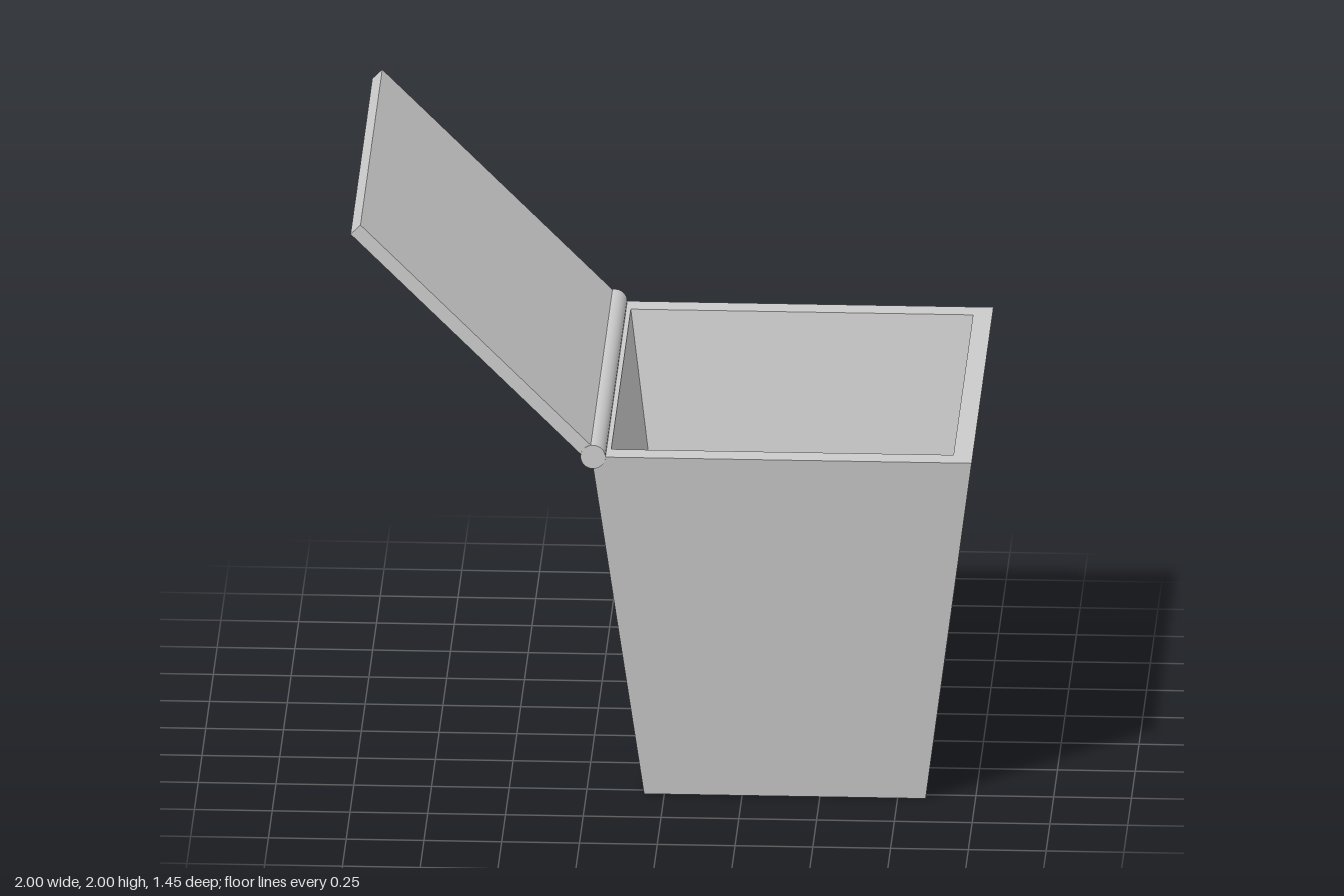
import * as THREE from 'three';

const material = new THREE.MeshStandardMaterial({ color: 0xcccccc });

// Rectangular cross-section, listed counter-clockwise seen from above
const ring = (y, x0, x1, z) => [[x0, y, z], [x1, y, z], [x1, y, -z], [x0, y, -z]];

// Skins consecutive rings with flat quads and closes both ends
function skinRings(rings) {
  const positions = [];
  const quad = (a, b, c, d) => [a, b, c, a, c, d].forEach((p) => positions.push(...p));
  for (let r = 0; r < rings.length - 1; r++) {
    for (let i = 0; i < 4; i++) {
      const j = (i + 1) % 4;
      quad(rings[r][i], rings[r][j], rings[r + 1][j], rings[r + 1][i]);
    }
  }
  quad(...[...rings[0]].reverse());
  quad(...rings[rings.length - 1]);
  const geometry = new THREE.BufferGeometry();
  geometry.setAttribute('position', new THREE.Float32BufferAttribute(positions, 3));
  geometry.computeVertexNormals();
  return geometry;
}

export function createModel() {
  const group = new THREE.Group();
  const add = (name, geometry) => {
    const mesh = new THREE.Mesh(geometry, material);
    mesh.name = name;
    group.add(mesh);
    return mesh;
  };

  // Tapered hollow bin: up the outside, over the rim, down to the inner floor
  add('bin', skinRings([
    ring(0, -0.065, 0.84, 0.535),
    ring(1.22, -0.225, 0.997, 0.722),
    ring(1.22, -0.165, 0.935, 0.648),
    ring(0.1, -0.02, 0.795, 0.48),
  ]));

  // Hinge rod along the side rim
  const hingeX = -0.22, hingeY = 1.22;
  const hinge = add('hinge', new THREE.CylinderGeometry(0.04, 0.04, 1.446, 32).rotateX(Math.PI / 2));
  hinge.position.set(hingeX, hingeY, 0);

  // Open lid, swung out from the hinge at 45 degrees
  const lidLength = 1.08;
  const lid = add('lid', new THREE.BoxGeometry(lidLength, 0.045, 1.44).translate(-lidLength / 2, 0, 0));
  lid.position.set(hingeX, hingeY, 0);
  lid.rotation.z = -Math.PI / 4;

  return group;
}
